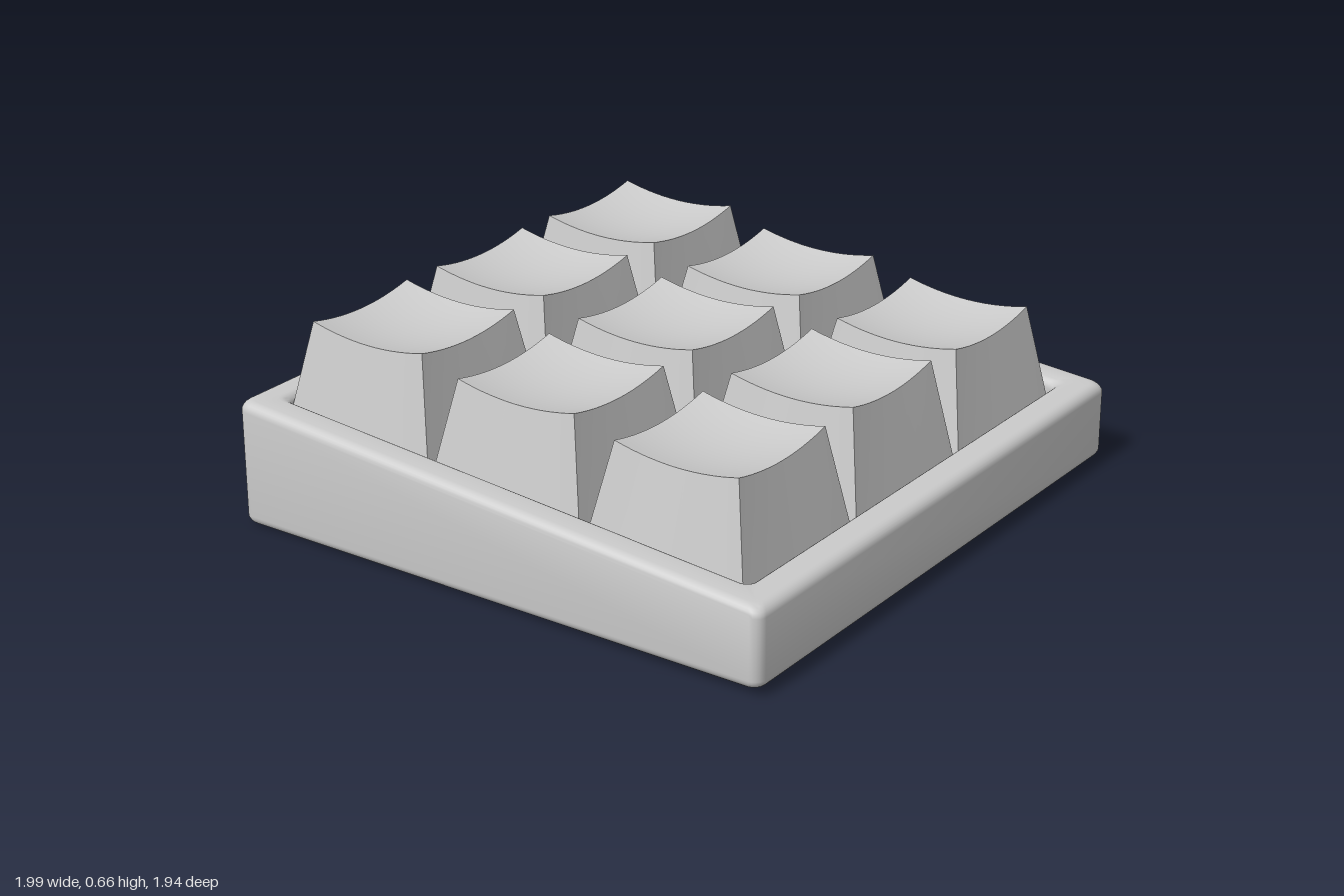
import * as THREE from 'three';
import { toCreasedNormals } from 'three/addons/utils/BufferGeometryUtils.js';

const material = new THREE.MeshStandardMaterial({ color: 0xcccccc, side: THREE.DoubleSide });

// Sloping planes of the wedge-shaped case
const bottomY = z => 0.01 + 0.01 * z;
const topY = z => 0.35 - 0.072 * z;
const RECESS = 0.1;

// Rounded-rectangle ring, inset from the outer wall; scale 0 closes a cap
function ring(inset, height, scale = 1) {
  const r = 0.035, hx = 0.99 - inset - r, hz = 0.972 - 0.917 * inset - r, zc = -0.083 * inset;
  const points = [];
  for (const [corner, sx, sz] of [[0, 1, 1], [1, -1, 1], [2, -1, -1], [3, 1, -1]]) {
    for (let i = 0; i <= 5; i++) {
      const a = (corner + i / 5) * Math.PI / 2;
      const z = zc + scale * (sz * hz + r * Math.sin(a));
      const x = scale * (sx * hx + r * Math.cos(a)) + 0.008 * z;
      points.push([x, height(z), z]);
    }
  }
  return points;
}

// Case: rings run from the underside, round the rim and down to the recess floor
function createCase() {
  const rings = [ring(0, bottomY, 0)];
  const r = 0.032, steps = 6;
  const fillet = (from, place) => {
    for (let i = 0; i <= steps; i++) {
      const a = from + i / steps * Math.PI / 2;
      rings.push(place(Math.cos(a), Math.sin(a)));
    }
  };
  fillet(-Math.PI / 2, (c, s) => ring(r - r * c, z => bottomY(z) + r + r * s));
  fillet(0, (c, s) => ring(r - r * c, z => topY(z) - r + r * s));
  fillet(Math.PI / 2, (c, s) => ring(0.12 - r - r * c, z => topY(z) - r + r * s));
  rings.push(ring(0.12, z => topY(z) - RECESS));
  rings.push(ring(0.12, z => topY(z) - RECESS, 0));

  const n = rings[0].length, index = [];
  for (let j = 0; j < rings.length - 1; j++) {
    for (let k = 0; k < n; k++) {
      const a = j * n + k, c = j * n + (k + 1) % n;
      if (j < rings.length - 2) index.push(a, a + n, c + n);
      if (j > 0) index.push(a, c + n, c);
    }
  }
  const geometry = new THREE.BufferGeometry();
  geometry.setAttribute('position', new THREE.Float32BufferAttribute(rings.flat(2), 3));
  geometry.setIndex(index);
  const mesh = new THREE.Mesh(toCreasedNormals(geometry, 0.6), material);
  mesh.name = 'case';
  return mesh;
}

// Keycap: a tapered box with a dished top, standing on the sloping floor
function createKeycap(x, z, cornerY) {
  const geometry = new THREE.BoxGeometry(2, 1, 2, 14, 1, 14);
  const p = geometry.attributes.position;
  for (let i = 0; i < p.count; i++) {
    const u = p.getX(i), v = p.getZ(i), top = p.getY(i) > 0;
    const half = top ? 0.218 : 0.285;
    const pz = z + v * half;
    const y = top ? cornerY - 0.027 * (2 - u * u - v * v) : topY(pz) - RECESS;
    p.setXYZ(i, x + u * half, y, pz);
  }
  geometry.computeVertexNormals();
  return new THREE.Mesh(geometry, material);
}

export function createModel() {
  const model = new THREE.Group();
  model.name = 'keypad';
  model.add(createCase());

  // Three rows of keys, front to back, with slightly uneven heights
  const columns = [-0.587, -0.004, 0.577];
  const rows = [
    { name: 'front', z: 0.559, heights: [0.565, 0.572, 0.56] },
    { name: 'middle', z: -0.022, heights: [0.61, 0.612, 0.605] },
    { name: 'back', z: -0.596, heights: [0.656, 0.656, 0.656] },
  ];
  for (const row of rows) {
    columns.forEach((x, i) => {
      const key = createKeycap(x, row.z, row.heights[i]);
      key.name = `${row.name}Key${i + 1}`;
      model.add(key);
    });
  }
  return model;
}
